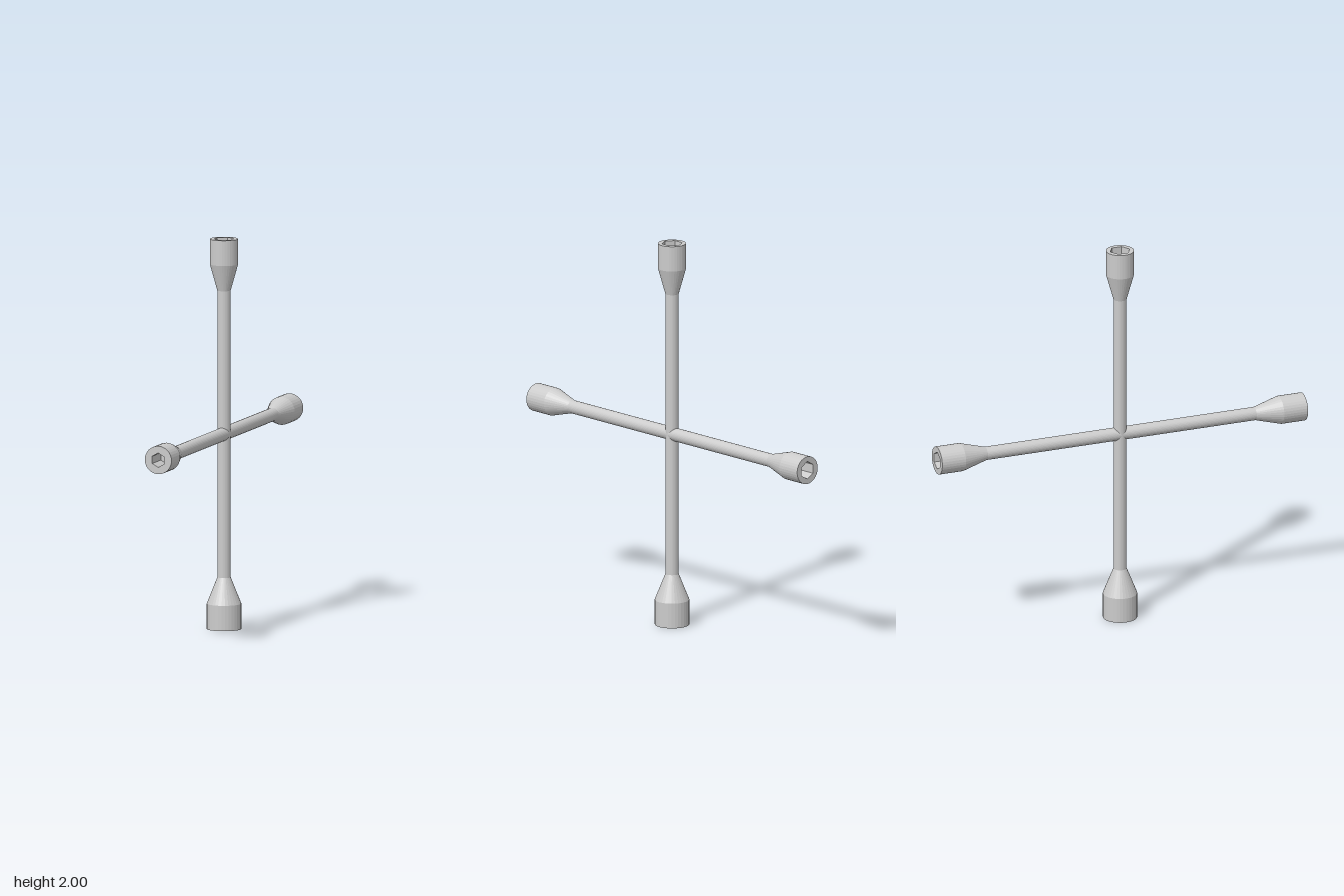
import * as THREE from 'three';

const SIDES = 32;
const ROD = 0.034;
const material = new THREE.MeshStandardMaterial({ color: 0xcccccc, flatShading: true });

function addMesh(parent, name, geometry) {
  const mesh = new THREE.Mesh(geometry, material);
  mesh.name = name;
  parent.add(mesh);
  return mesh;
}

const lathe = (points, sides) =>
  new THREE.LatheGeometry(points.map(([r, y]) => new THREE.Vector2(r, y)), sides);

const polygon = (sides, r) => Array.from({ length: sides }, (_, i) => {
  const a = (i / sides) * Math.PI * 2;
  return new THREE.Vector2(r * Math.sin(a), r * Math.cos(a));
});

// Socket pointing along +y, its open end one unit from the centre of the cross
function makeSocket(name, radius, hexRadius) {
  const socket = new THREE.Group();
  socket.name = name;

  // Tapered neck and round outer wall, with a doubled ring for a sharp shoulder
  addMesh(socket, 'socketBody',
    lathe([[ROD, 0.735], [radius, 0.87], [radius, 0.87], [radius, 1]], SIDES));

  // Flat rim around the hexagonal opening
  const rim = new THREE.Shape(polygon(SIDES, radius));
  rim.holes.push(new THREE.Path(polygon(6, hexRadius)));
  addMesh(socket, 'socketRim',
    new THREE.ShapeGeometry(rim).rotateX(-Math.PI / 2).translate(0, 1, 0));

  // Hexagonal recess: inner walls, then the floor
  addMesh(socket, 'hexRecess',
    lathe([[hexRadius, 1], [hexRadius, 0.87], [hexRadius, 0.87], [0, 0.87]], 6));
  return socket;
}

export function createModel() {
  const wrench = new THREE.Group();
  wrench.name = 'crossWrench';
  const cross = new THREE.Group();
  cross.name = 'cross';
  cross.position.y = 1;
  wrench.add(cross);

  // Two crossing rods
  const rod = new THREE.CylinderGeometry(ROD, ROD, 1.47, SIDES, 1, true);
  addMesh(cross, 'uprightRod', rod);
  addMesh(cross, 'levelRod', rod).rotation.x = Math.PI / 2;

  // Four sockets, each for a different nut size
  [
    ['topSocket', 0.072, 0.053],
    ['frontSocket', 0.072, 0.037],
    ['bottomSocket', 0.088, 0.06],
    ['backSocket', 0.072, 0.046],
  ].forEach(([name, radius, hexRadius], i) => {
    const socket = makeSocket(name, radius, hexRadius);
    socket.rotation.x = i * Math.PI / 2;
    cross.add(socket);
  });
  return wrench;
}
